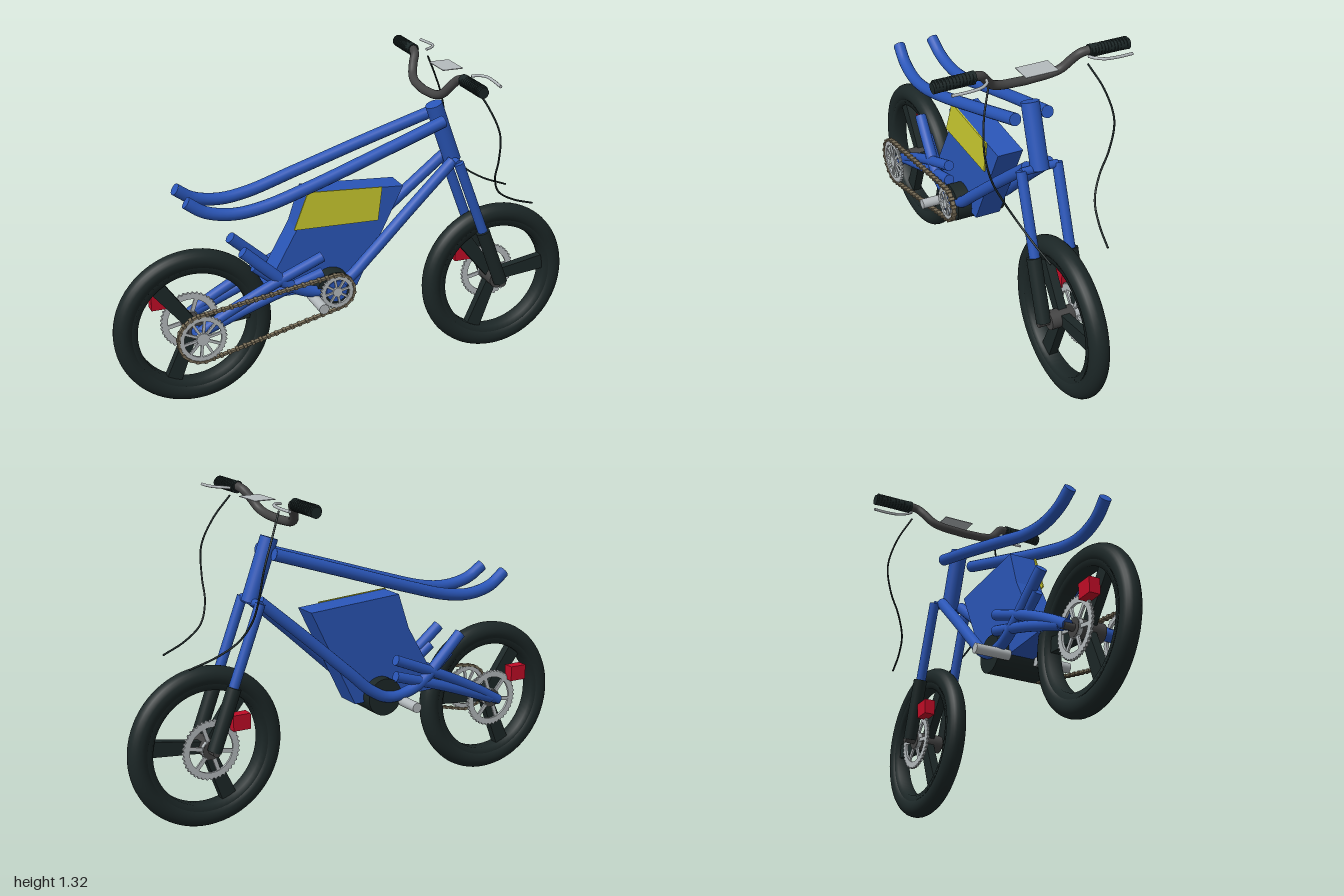
import * as THREE from 'three';

const mat = (name, color, side = THREE.FrontSide) => {
  const m = new THREE.MeshStandardMaterial({ color, side });
  m.name = name;
  return m;
};

export function createModel() {
  const root = new THREE.Group();
  root.name = 'motorbike';
  const blue = mat('frame blue', 0x2a56b8);
  const black = mat('rubber black', 0x1c2727);
  const barGrey = mat('bar grey', 0x444444);
  const steel = mat('light steel', 0xb4babd, THREE.DoubleSide);
  const yellow = mat('panel yellow', 0xc9c92e, THREE.DoubleSide);
  const red = mat('caliper red', 0xc00c26);
  const chainMat = mat('chain brown', 0x7b705a);

  const V = (p) => new THREE.Vector3(...p);
  const add = (name, geo, m, pos = [0, 0, 0], parent = root) => {
    const mesh = new THREE.Mesh(geo, m);
    mesh.name = name;
    mesh.position.set(...pos);
    parent.add(mesh);
    return mesh;
  };
  // smooth tube through points with flat end caps
  const tube = (name, pts, r, m, segs = 40, sides = 16) => {
    const g = new THREE.Group();
    g.name = name;
    root.add(g);
    const curve = new THREE.CatmullRomCurve3(pts.map(V), false, 'centripetal');
    add(name + 'Pipe', new THREE.TubeGeometry(curve, segs, r, sides), m, [0, 0, 0], g);
    for (const t of [0, 1]) {
      const cap = add(name + 'Cap', new THREE.CircleGeometry(r, sides), m, curve.getPoint(t).toArray(), g);
      const dir = curve.getTangent(t).multiplyScalar(t ? 1 : -1);
      cap.quaternion.setFromUnitVectors(new THREE.Vector3(0, 0, 1), dir);
    }
    return g;
  };
  // straight cylinder between two points
  const rod = (name, a, b, r, m, sides = 24, parent = root) => {
    const A = V(a), B = V(b), d = B.clone().sub(A);
    const mesh = add(name, new THREE.CylinderGeometry(r, r, d.length(), sides), m,
      A.clone().add(B).multiplyScalar(0.5).toArray(), parent);
    mesh.quaternion.setFromUnitVectors(new THREE.Vector3(0, 1, 0), d.normalize());
    return mesh;
  };
  // flat ring with teeth, spokes and hub, centred on z
  const disc = (name, x, y, z, outer, inner, arms, armWidth, hub, teeth) => {
    const g = new THREE.Group();
    g.name = name;
    g.position.set(x, y, z);
    root.add(g);
    const s = new THREE.Shape();
    const n = teeth * 4;
    for (let i = 0; i < n; i++) {
      const a = (i / n) * Math.PI * 2, r = i % 4 < 2 ? outer : outer - 0.006;
      s[i ? 'lineTo' : 'moveTo'](r * Math.cos(a), r * Math.sin(a));
    }
    s.closePath();
    s.holes.push(new THREE.Path().absarc(0, 0, inner, 0, Math.PI * 2, true));
    const depth = 0.01;
    const ring = new THREE.ExtrudeGeometry(s, { depth, bevelEnabled: false, curveSegments: 36 });
    add(name + 'Ring', ring, steel, [0, 0, -depth / 2], g);
    for (let i = 0; i < arms; i++) {
      const a = (i / arms) * Math.PI * 2 + 0.2, mid = (inner + 0.005) / 2;
      const arm = add(name + 'Arm', new THREE.BoxGeometry(inner + 0.005, armWidth, 0.008), steel,
        [mid * Math.cos(a), mid * Math.sin(a), 0], g);
      arm.rotation.z = a;
    }
    rod(name + 'Hub', [0, 0, -0.008], [0, 0, 0.008], hub, steel, 24, g);
  };

  // wheels: tyre, rim, three broad spokes, hub, brake disc and caliper
  const AX = 0.67, AY = 0.33;
  for (const [name, x] of [['frontWheel', AX], ['rearWheel', -AX]]) {
    const w = new THREE.Group();
    w.name = name;
    w.position.set(x, AY, 0);
    root.add(w);
    add('tyre', new THREE.TorusGeometry(0.287, 0.041, 20, 72), black, [0, 0, 0], w);
    const rim = add('rim', new THREE.LatheGeometry(
      [[0.26, -0.032], [0.235, -0.028], [0.235, 0.028], [0.26, 0.032]].map((p) => new THREE.Vector2(...p)), 64),
      mat0(black), [0, 0, 0], w);
    rim.rotation.x = Math.PI / 2;
    for (let i = 0; i < 3; i++) {
      const s = new THREE.Shape([[0.02, -0.024], [0.245, -0.032], [0.245, 0.032], [0.02, 0.024]]
        .map((p) => new THREE.Vector2(...p)));
      const spoke = add('spoke', new THREE.ExtrudeGeometry(s, { depth: 0.036, bevelEnabled: false }), black,
        [0, 0, -0.018], w);
      spoke.rotation.z = 0.13 + (i * Math.PI * 2) / 3;
    }
    rod('hub', [0, 0, -0.06], [0, 0, 0.06], 0.038, barGrey, 24, w);
    rod('axle', [0, 0, -0.105], [0, 0, 0.105], 0.016, barGrey, 24, w);
    disc(name + 'BrakeDisc', x, AY, -0.05, 0.123, 0.093, 6, 0.016, 0.04, 40);
    add(name + 'Caliper', new THREE.BoxGeometry(0.075, 0.064, 0.046), red, [x - 0.12, 0.432, -0.063]);
  }

  // head tube
  rod('headTube', [0.375, 1.135, 0], [0.465, 0.885, 0], 0.036, blue, 32);

  for (const s of [1, -1]) {
    const side = s > 0 ? 'right' : 'left';
    // seat rails
    tube(side + 'SeatRail', [[-0.7, 0.89, s * 0.078], [-0.63, 0.843, s * 0.084], [-0.52, 0.82, s * 0.09],
      [-0.4, 0.832, s * 0.094], [-0.2, 0.89, s * 0.097], [0.1, 0.987, s * 0.086], [0.39, 1.08, s * 0.068]], 0.025, blue);
    // down tube sweeping under the body and up to a rear stub
    tube(side + 'CradleTube', [[0.445, 0.895, s * 0.045], [0.25, 0.725, s * 0.068], [0.06, 0.555, s * 0.09],
      [-0.03, 0.475, s * 0.096], [-0.11, 0.435, s * 0.098], [-0.2, 0.44, s * 0.098], [-0.28, 0.475, s * 0.098],
      [-0.38, 0.56, s * 0.09], [-0.48, 0.65, s * 0.08]], 0.024, blue, 60);
    // swingarm and its brace
    tube(side + 'Swingarm', [[-0.68, 0.33, s * 0.09], [-0.55, 0.405, s * 0.094], [-0.4, 0.48, s * 0.097],
      [-0.15, 0.585, s * 0.098]], 0.022, blue);
    tube(side + 'SwingarmBrace', [[-0.64, 0.345, s * 0.09], [-0.4, 0.435, s * 0.097], [-0.15, 0.515, s * 0.098]], 0.022, blue);
    rod(side + 'Strut', [-0.43, 0.575, s * 0.07], [-0.3, 0.47, s * 0.08], 0.022, blue);
    // fork legs
    rod(side + 'ForkUpper', [0.458, 0.895, s * 0.077], [0.6, 0.52, s * 0.077], 0.021, blue);
    rod(side + 'ForkLower', [0.578, 0.575, s * 0.08], [0.67, 0.33, s * 0.08], 0.029, black);
    // footpeg
    rod(side + 'Footpeg', [-0.185, 0.405, s * 0.06], [-0.185, 0.405, s * 0.21], 0.021, steel);
    // grip with ribs
    rod(side + 'Grip', [0.388, 1.302, s * 0.235], [0.392, 1.294, s * 0.405], 0.022, black);
    for (let i = 0; i < 12; i++) {
      const z = s * (0.245 + i * 0.0135);
      rod(side + 'GripRib', [0.39, 1.298, z - 0.004], [0.39, 1.298, z + 0.004], 0.025, black, 20);
    }
    // brake lever and cable
    tube(side + 'BrakeLever', [[0.435, 1.303, s * 0.21], [0.46, 1.306, s * 0.22], [0.483, 1.306, s * 0.25],
      [0.487, 1.303, s * 0.3], [0.482, 1.3, s * 0.37]], 0.006, steel, 24, 8);
    tube(side + 'BrakeCable', [[0.44, 1.275, s * 0.205], [0.495, 1.18, s * 0.25], [0.54, 1.07, s * 0.27],
      [0.552, 0.95, s * 0.246], [0.56, 0.86, s * 0.205], [0.6, 0.78, s * 0.165], [0.68, 0.727, s * 0.14],
      [0.785, 0.688, s * 0.12]], 0.004, black, 48, 8);
  }
  rod('forkBridge', [0.46, 0.89, -0.077], [0.46, 0.89, 0.077], 0.016, blue);

  // battery body
  const outline = [[-0.19, 0.85], [0.22, 0.822], [0.018, 0.412], [-0.4, 0.418], [-0.24, 0.7]];
  const bodyShape = new THREE.Shape(outline.map((p) => new THREE.Vector2(...p)));
  add('batteryBody', new THREE.ExtrudeGeometry(bodyShape, { depth: 0.11, bevelEnabled: false }), blue, [0, 0, -0.055]);
  const panel = new THREE.Shape([[-0.195, 0.853], [0.125, 0.832], [0.108, 0.69], [-0.255, 0.7]]
    .map((p) => new THREE.Vector2(...p)));
  add('sidePanel', new THREE.ExtrudeGeometry(panel, { depth: 0.006, bevelEnabled: false }), yellow, [0, 0, 0.056]);

  // motor
  rod('motor', [-0.1, 0.435, -0.1], [-0.1, 0.435, 0.115], 0.078, black, 40);

  // sprockets and chain
  const SZ = 0.135, FX = -0.1, FY = 0.437, RF = 0.073, RR = 0.1;
  disc('rearSprocket', -AX, AY, SZ, RR, 0.077, 10, 0.011, 0.026, 36);
  disc('frontSprocket', FX, FY, SZ, RF, 0.052, 8, 0.009, 0.02, 26);
  rod('frontSprocketShaft', [FX, FY, 0.1], [FX, FY, 0.132], 0.045, blue);
  rod('rearSprocketShaft', [-AX, AY, 0.06], [-AX, AY, 0.132], 0.025, blue);
  const base = Math.atan2(FY - AY, FX + AX), off = Math.acos((RR - RF) / Math.hypot(FX + AX, FY - AY));
  const loop = [];
  const arc = (cx, cy, r, a0, a1) => {
    for (let i = 0; i <= 16; i++) {
      const a = a0 + ((a1 - a0) * i) / 16;
      loop.push(new THREE.Vector2(cx + r * Math.cos(a), cy + r * Math.sin(a)));
    }
  };
  arc(-AX, AY, RR, base + off, base - off + Math.PI * 2);
  arc(FX, FY, RF, base - off, base + off);
  loop.push(loop[0].clone());
  const links = new THREE.CurvePath();
  for (let i = 1; i < loop.length; i++) links.add(new THREE.LineCurve(loop[i - 1], loop[i]));
  const COUNT = 100;
  const linkGeo = new THREE.BoxGeometry(0.0185, 0.009, 0.018);
  const pinGeo = new THREE.BoxGeometry(0.012, 0.012, 0.024);
  for (let i = 0; i < COUNT; i++) {
    const p = links.getPointAt(i / COUNT), q = links.getPointAt(((i + 0.5) % COUNT) / COUNT);
    const link = add('chainLink', i % 2 ? linkGeo : pinGeo, chainMat, [p.x, p.y, SZ]);
    link.rotation.z = Math.atan2(q.y - p.y, q.x - p.x);
  }

  // handlebar and display plate
  const half = [[0.331, 1.202, 0.03], [0.335, 1.208, 0.1], [0.345, 1.225, 0.145], [0.362, 1.262, 0.178],
    [0.38, 1.292, 0.205], [0.388, 1.302, 0.24]];
  const mirrored = half.map(([x, y, z]) => [x, y, -z]).reverse();
  tube('handlebar', [...mirrored, [0.33, 1.2, 0], ...half], 0.018, barGrey, 80);
  add('displayPlate', new THREE.BoxGeometry(0.088, 0.003, 0.135), steel, [0.425, 1.293, 0]);

  return root;

  // thin rim shares the tyre colour
  function mat0(m) {
    m.side = THREE.DoubleSide;
    return m;
  }
}
